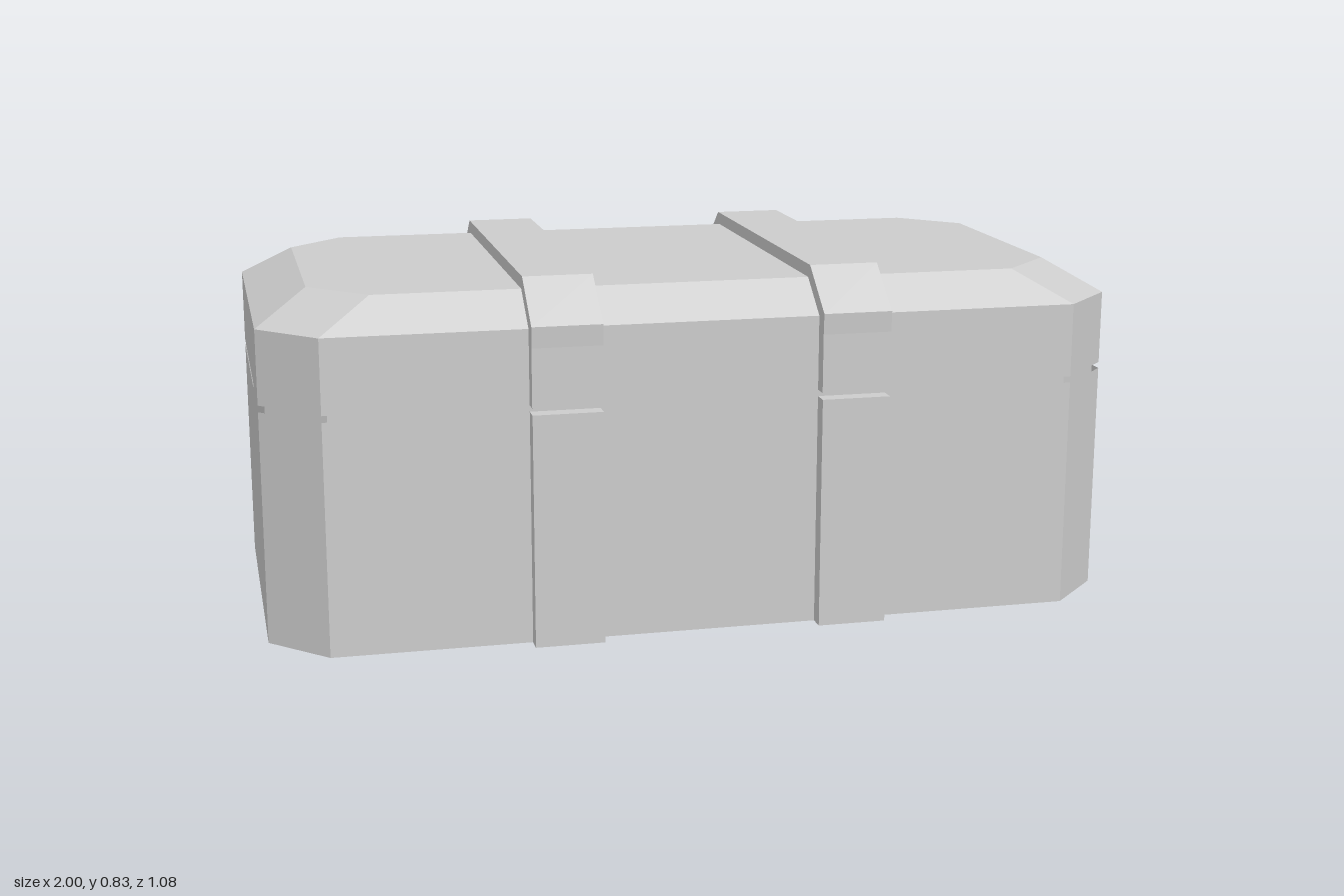
import * as THREE from 'three';

const material = new THREE.MeshStandardMaterial({
  color: 0xcccccc, flatShading: true, side: THREE.DoubleSide,
});

// Eight-sided outline: half sizes x and z with cut corners
function octagon(x, z, cut, y) {
  return [
    [x, -z + cut], [x, z - cut], [x - cut, z], [-x + cut, z],
    [-x, z - cut], [-x, -z + cut], [-x + cut, -z], [x - cut, -z],
  ].map(([px, pz]) => new THREE.Vector3(px, y, pz));
}

// Faceted skin through a stack of outlines, bottom to top, with optional caps
function skin(rings, capBottom, capTop) {
  const points = [];
  const n = rings[0].length;
  for (let r = 0; r + 1 < rings.length; r++) {
    for (let i = 0; i < n; i++) {
      const j = (i + 1) % n;
      const [a0, b0, a1, b1] = [rings[r][i], rings[r][j], rings[r + 1][i], rings[r + 1][j]];
      points.push(a0, a1, b0, b0, a1, b1);
    }
  }
  const last = rings[rings.length - 1];
  for (let i = 1; i + 1 < n; i++) {
    if (capBottom) points.push(rings[0][0], rings[0][i], rings[0][i + 1]);
    if (capTop) points.push(last[0], last[i + 1], last[i]);
  }
  const geometry = new THREE.BufferGeometry().setFromPoints(points);
  geometry.computeVertexNormals();
  return geometry;
}

export function createModel() {
  const model = new THREE.Group();
  model.name = 'chest';
  const add = (name, geometry, x = 0, y = 0, z = 0) => {
    const mesh = new THREE.Mesh(geometry, material);
    mesh.name = name;
    mesh.position.set(x, y, z);
    model.add(mesh);
  };

  // Open-bottomed wall of the lower half
  add('baseWall', skin([octagon(1, 0.5, 0.13, 0), octagon(1, 0.5, 0.13, 0.54)], false, false));

  // Inner body: raised floor below, seam showing between base and lid
  add('innerBody', skin(
    [octagon(0.985, 0.492, 0.128, 0.035), octagon(0.985, 0.492, 0.128, 0.6)], true, false));

  // Lid with a bevelled top
  add('lid', skin([
    octagon(1, 0.5, 0.13, 0.555), octagon(1, 0.5, 0.13, 0.727), octagon(0.88, 0.407, 0.13, 0.8),
  ], false, true));

  // Strap over the lid: outer profile from front to back, then back along the lid
  const half = [[0.535, 0.555], [0.535, 0.69], [0.538, 0.738], [0.422, 0.83]];
  const inner = [[0.5, 0.555], [0.5, 0.727], [0.407, 0.8]];
  const mirror = (list) => list.map(([z, y]) => [-z, y]).reverse();
  const outline = [...half, ...mirror(half), ...mirror(inner).reverse(), ...[...inner].reverse()];
  const shape = new THREE.Shape(outline.map(([z, y]) => new THREE.Vector2(z, y)));
  const width = 0.16;
  const lidStrap = new THREE.ExtrudeGeometry(shape, { depth: width, bevelEnabled: false });
  lidStrap.translate(0, 0, -width / 2).rotateY(-Math.PI / 2);
  const baseStrap = new THREE.BoxGeometry(width, 0.54, 0.038);

  for (const side of [-1, 1]) {
    const label = side > 0 ? 'left' : 'right';
    const x = side * 0.333;
    add(`${label}LidStrap`, lidStrap, x);
    add(`${label}FrontStrap`, baseStrap, x, 0.27, 0.519);
    add(`${label}BackStrap`, baseStrap, x, 0.27, -0.519);
  }
  return model;
}
